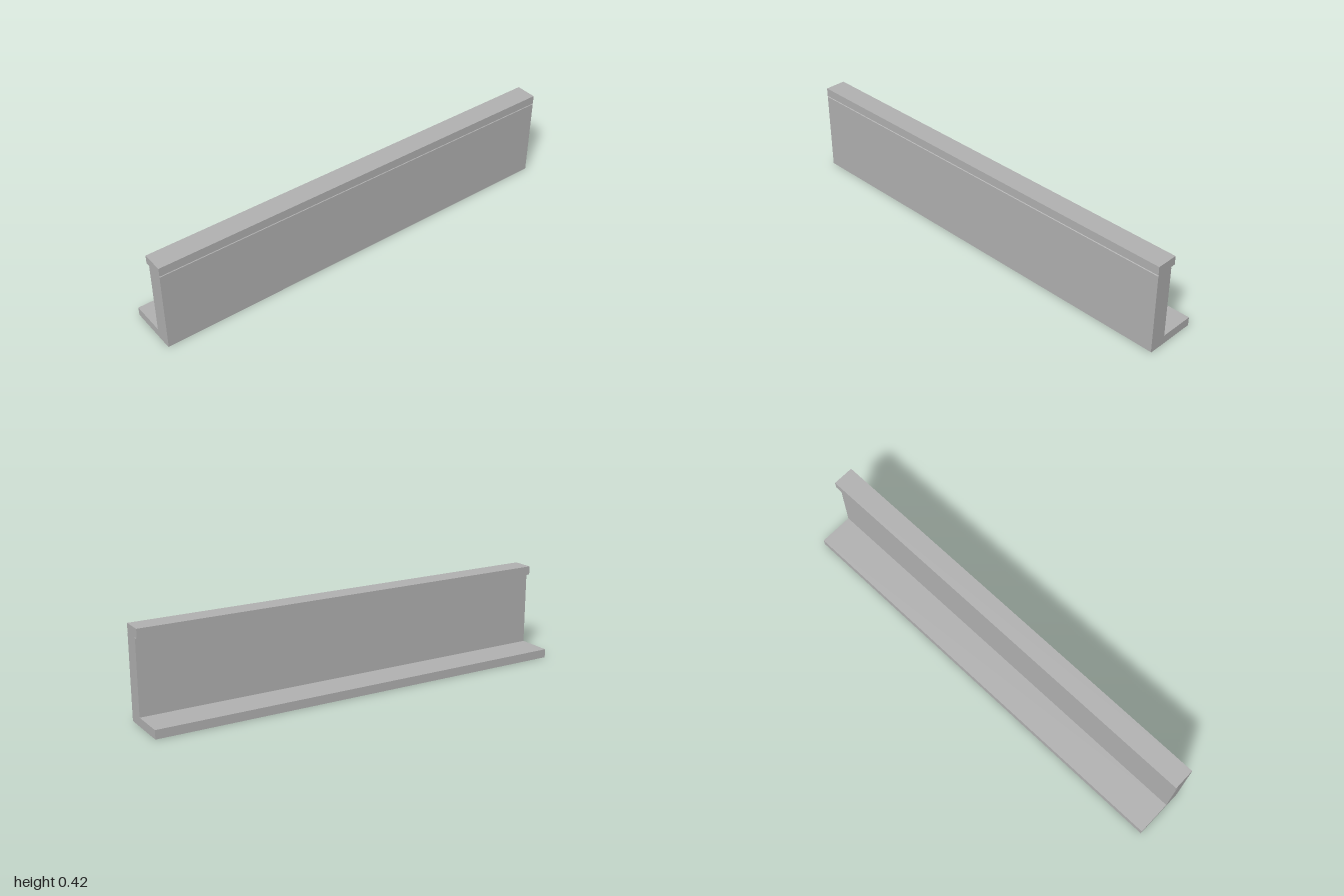
import * as THREE from 'three';

const LENGTH = 2;

// Extrudes a cross-section of [z, y] points along x, centred on x = 0
function bar(name, profile, material) {
  const shape = new THREE.Shape(profile.map(([z, y]) => new THREE.Vector2(-z, y)));
  const geometry = new THREE.ExtrudeGeometry(shape, { depth: LENGTH, bevelEnabled: false });
  geometry.translate(0, 0, -LENGTH / 2);
  geometry.rotateY(Math.PI / 2);
  const mesh = new THREE.Mesh(geometry, material);
  mesh.name = name;
  return mesh;
}

export function createModel() {
  const grey = new THREE.MeshStandardMaterial({ color: 0xb2b2b2 });
  grey.name = 'plain grey';

  const model = new THREE.Group();
  model.name = 'angledWall';

  // Upright wall and rear foot in one L-shaped section, edges slightly chamfered
  model.add(bar('wallAndFoot', [
    [0.117, 0], [-0.12, 0], [-0.12, 0.04], [0.041, 0.04],
    [0.041, 0.375], [0.046, 0.38], [0.116, 0.38], [0.12, 0.375], [0.12, 0.003],
  ], grey));

  // Coping along the top, overhanging to the rear
  model.add(bar('coping', [
    [0.12, 0.38], [0.021, 0.38], [0.021, 0.42], [0.12, 0.42],
  ], grey));

  return model;
}
